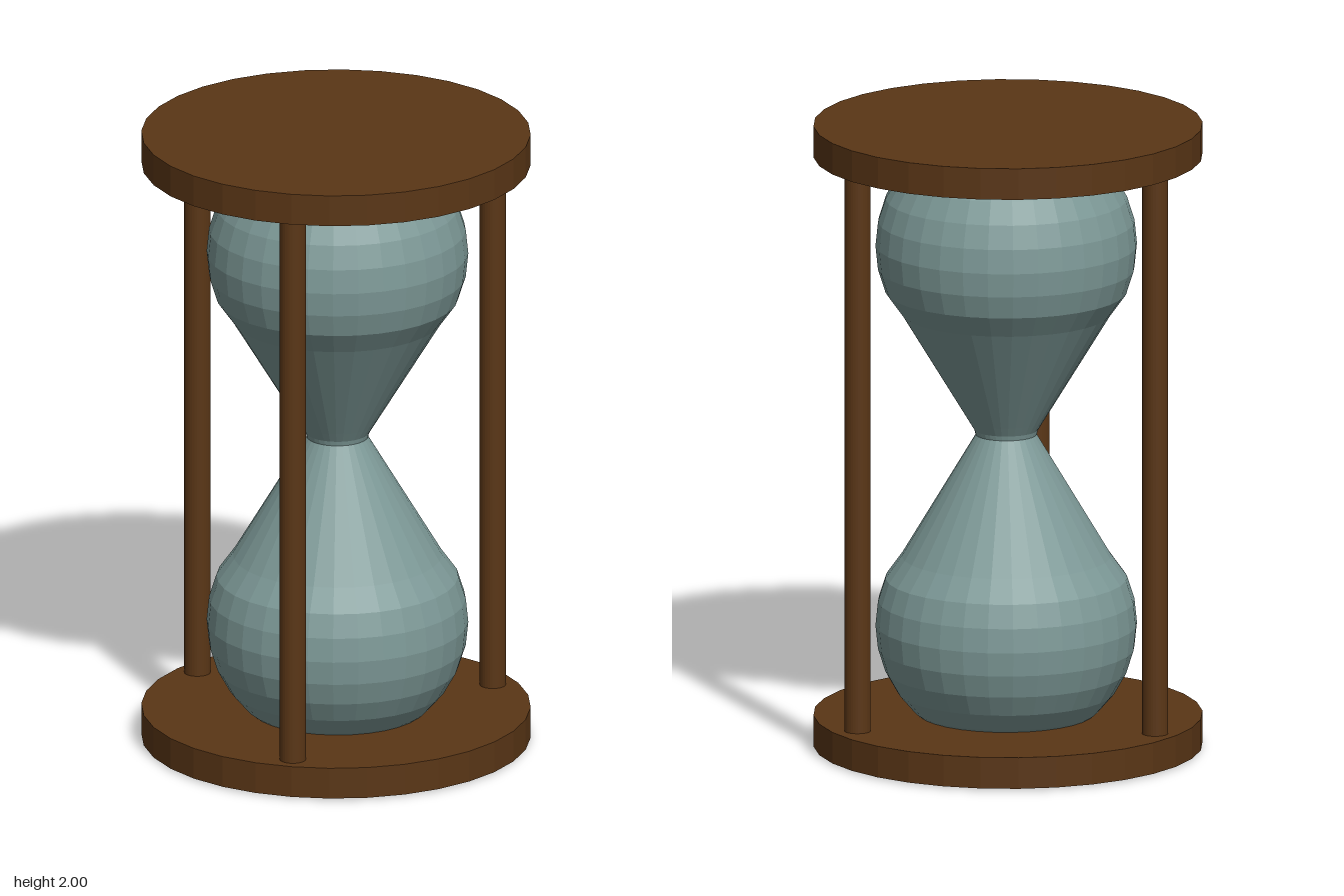
import * as THREE from 'three';

const wood = new THREE.MeshStandardMaterial({ color: 0x5a3616, flatShading: true });
const glass = new THREE.MeshStandardMaterial({ color: 0x7d9997, flatShading: true });
const SIDES = 32;

function add(group, name, geometry, material, x, y, z) {
  const mesh = new THREE.Mesh(geometry, material);
  mesh.name = name;
  mesh.position.set(x, y, z);
  group.add(mesh);
}

// Half profile of a bulb: round end at y = 0, cone rising to the neck at y = 1
function bulbProfile(neck) {
  const points = [];
  for (let i = 0; i <= 10; i++) {
    const a = (i * Math.PI) / 16;
    points.push(new THREE.Vector2(0.41 * Math.sin(a), 0.39 - 0.39 * Math.cos(a)));
  }
  points.push(new THREE.Vector2(0.328, 0.61));
  return points.concat(neck.map(([r, y]) => new THREE.Vector2(r, y)));
}

export function createModel() {
  const group = new THREE.Group();

  // Round end plates
  const plate = new THREE.CylinderGeometry(0.61, 0.61, 0.1, SIDES);
  add(group, 'basePlate', plate, wood, 0, 0.055, 0);
  add(group, 'topPlate', plate, wood, 0, 1.95, 0);

  // Three posts between the plates
  const post = new THREE.CylinderGeometry(0.041, 0.041, 1.84, SIDES);
  const spots = [[0.53, -0.015], [-0.31, 0.44], [-0.295, -0.45]];
  spots.forEach(([x, z], i) => add(group, `post${i + 1}`, post, wood, x, 1, z));

  // Lower bulb, closed at the neck
  const lower = bulbProfile([[0.095, 1], [0, 1]]);
  add(group, 'lowerBulb', new THREE.LatheGeometry(lower, SIDES), glass, 0, 0, 0.013);

  // Upper bulb: the same shape turned over, with a short collar at the neck
  const upper = bulbProfile([[0.118, 0.955], [0.1, 0.985], [0.096, 1], [0, 1]])
    .map((p) => new THREE.Vector2(p.x, 2 - p.y))
    .reverse();
  add(group, 'upperBulb', new THREE.LatheGeometry(upper, SIDES), glass, 0, 0, 0.013);

  return group;
}
